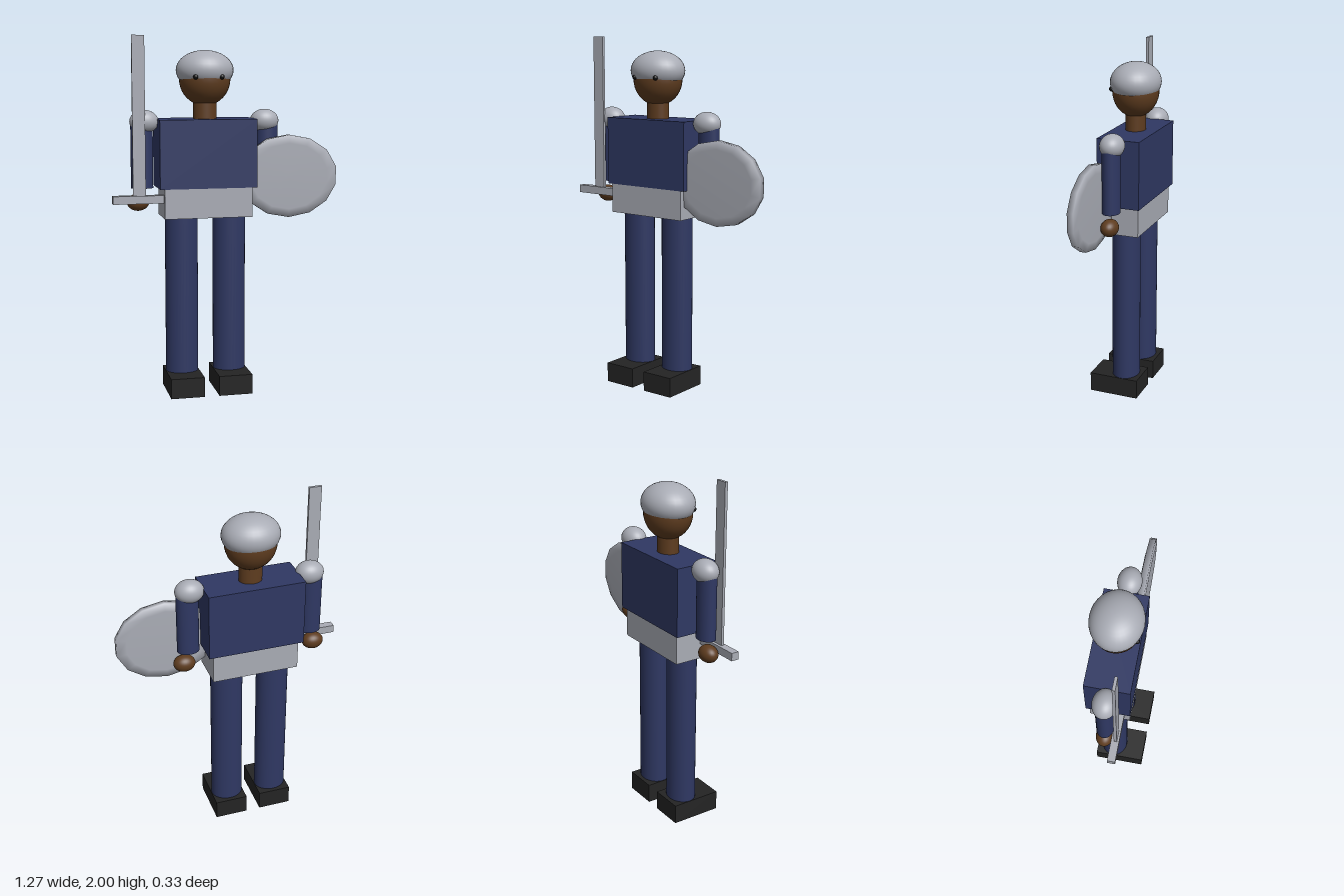
import * as THREE from 'three';

const CX = -0.107; // body mid-plane
const CZ = -0.024; // body depth centre

export function createModel() {
  const model = new THREE.Group();
  model.name = 'guard';

  const material = (name, color) => {
    const m = new THREE.MeshStandardMaterial({ color });
    m.name = name;
    return m;
  };
  const cloth = material('navyCloth', 0x2f3863);
  const steel = material('steel', 0xa9acb5);
  const skin = material('skin', 0x5e3c1f);
  const leather = material('blackLeather', 0x242424);
  const eyeBlack = material('eyeBlack', 0x111111);

  const add = (name, geometry, mat, x, y, z) => {
    const mesh = new THREE.Mesh(geometry, mat);
    mesh.name = name;
    mesh.position.set(x, y, z);
    model.add(mesh);
    return mesh;
  };
  const box = (name, mat, w, h, d, x, y, z) =>
    add(name, new THREE.BoxGeometry(w, h, d), mat, x, y, z);
  const ball = (name, mat, rx, ry, rz, x, y, z) =>
    add(name, new THREE.SphereGeometry(1, 32, 20).scale(rx, ry, rz), mat, x, y, z);
  // Upright oval column between two heights
  const column = (name, mat, rx, rz, y0, y1, x) =>
    add(name, new THREE.CylinderGeometry(1, 1, y1 - y0, 32).scale(rx, 1, rz), mat, x, (y0 + y1) / 2, CZ);

  // Trunk
  box('torso', cloth, 0.546, 0.38, 0.244, CX, 1.355, -0.027);
  box('waist', steel, 0.494, 0.165, 0.225, CX, 1.0825, -0.022);

  // Head
  column('neck', skin, 0.065, 0.056, 1.53, 1.66, CX);
  ball('head', skin, 0.143, 0.146, 0.128, CX, 1.763, CZ);
  ball('helmet', steel, 0.161, 0.11, 0.139, CX, 1.812, CZ);

  // Paired parts
  for (const [side, s] of [['left', 1], ['right', -1]]) {
    ball(side + 'Eye', eyeBlack, 0.014, 0.014, 0.014, CX + s * 0.073, 1.776, 0.09);
    ball(side + 'Shoulder', steel, 0.081, 0.065, 0.066, CX + s * 0.342, 1.531, CZ);
    column(side + 'Arm', cloth, 0.062, 0.048, 1.165, 1.53, CX + s * 0.356);
    ball(side + 'Hand', skin, 0.062, 0.048, 0.048, CX + s * 0.38, 1.086, CZ);
    column(side + 'Leg', cloth, 0.0925, 0.078, 0.1, 1.005, CX + s * 0.137);
    box(side + 'Boot', leather, 0.19, 0.112, 0.288, CX + s * 0.137, 0.056, 0.02);
  }

  // Sword
  box('swordBlade', steel, 0.07, 0.88, 0.016, -0.488, 1.56, 0.041);
  box('swordGuard', steel, 0.294, 0.044, 0.044, -0.488, 1.108, 0.039);

  // Oval fourteen-sided shield with a softened rim
  const h = 0.023;
  const profile = [[0, -h], [0.8, -h], [1, -0.75 * h], [1, 0.75 * h], [0.8, h], [0, h]]
    .map(([r, y]) => new THREE.Vector2(r, y));
  const disc = new THREE.LatheGeometry(profile, 14).rotateX(-Math.PI / 2).scale(0.284, 0.233, 1);
  add('shield', disc, steel, 0.36, 1.22, 0.04);

  return model;
}
